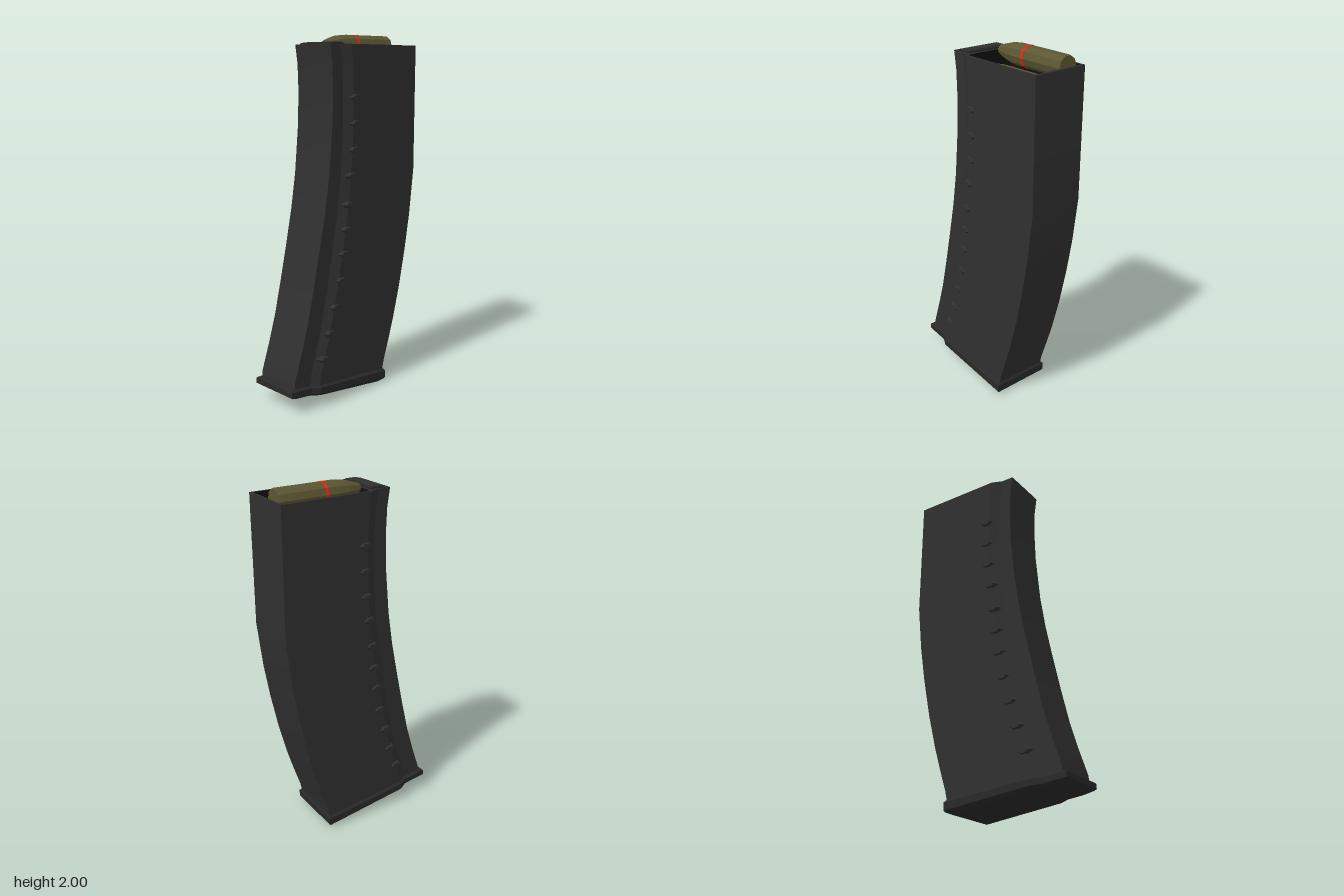
import * as THREE from 'three';
import { toCreasedNormals } from 'three/addons/utils/BufferGeometryUtils.js';

const mat = (name, color) => Object.assign(new THREE.MeshStandardMaterial({ color }), { name });

// Skin a stack of equal-length loops (anticlockwise from above), with optional end caps.
function loft(loops, capStart, capEnd, crease = 0.35) {
  const pos = [];
  const tri = (...pts) => pts.forEach((p) => pos.push(...p));
  const n = loops[0].length;
  const cap = (loop, flip) => {
    const c = [0, 1, 2].map((k) => loop.reduce((s, p) => s + p[k], 0) / n);
    loop.forEach((p, i) => {
      const q = loop[(i + 1) % n];
      flip ? tri(c, q, p) : tri(c, p, q);
    });
  };
  for (let s = 0; s + 1 < loops.length; s++) {
    for (let i = 0; i < n; i++) {
      const j = (i + 1) % n;
      const [a, b, c, d] = [loops[s][i], loops[s][j], loops[s + 1][j], loops[s + 1][i]];
      tri(a, b, c);
      tri(a, c, d);
    }
  }
  if (capStart) cap(loops[0], true);
  if (capEnd) cap(loops[loops.length - 1], false);
  const g = new THREE.BufferGeometry();
  g.setAttribute('position', new THREE.Float32BufferAttribute(pos, 3));
  return toCreasedNormals(g, crease);
}

// Tilted cross-section from a left to a right point: narrow at the left, stepping out to full width.
function section([lx, ly, rx, ry], narrow, wide, f1, f2) {
  const half = [[0, narrow], [f1, narrow], [f2, wide], [1, wide]]
    .map(([f, z]) => [lx + (rx - lx) * f, ly + (ry - ly) * f, z]);
  return [...half, ...half.slice().reverse().map(([x, y, z]) => [x, y, -z])];
}

// Rectangular opening with the same number of corners as a section.
function opening(y) {
  const half = [[-0.045, y, 0.1], [-0.045, y, 0.13], [-0.03, y, 0.148], [0.457, y, 0.148]];
  return [...half, ...half.slice().reverse().map(([x, yy, z]) => [x, yy, -z])];
}

export function createModel() {
  const model = new THREE.Group();
  const casing = mat('charcoal casing', 0x303031);
  const trim = mat('dark trim', 0x29292a);
  const inside = mat('black interior', 0x101011);
  const olive = mat('olive', 0x5c5632);
  const red = mat('red band', 0xe8260c);

  const add = (name, geometry, material, parent = model) => {
    const mesh = new THREE.Mesh(geometry, material);
    mesh.name = name;
    parent.add(mesh);
    return mesh;
  };

  // Curved casing: left x, y and right x, y at each station, bottom to top
  const stations = [
    [-0.44, 0.10, 0.217, 0.05], [-0.44, 0.17, 0.235, 0.13], [-0.39, 0.32, 0.275, 0.25],
    [-0.345, 0.47, 0.312, 0.37], [-0.30, 0.66, 0.362, 0.56], [-0.255, 0.865, 0.408, 0.78],
    [-0.215, 1.06, 0.442, 0.98], [-0.185, 1.25, 0.472, 1.24], [-0.16, 1.52, 0.472, 1.52],
    [-0.155, 1.70, 0.472, 1.70], [-0.16, 1.84, 0.472, 1.84], [-0.175, 1.94, 0.472, 1.94],
  ];
  const loops = stations.map((s) => {
    const t = 1 - s[1] / 1.94;
    return section(s, 0.135, 0.16, 0.11 + 0.06 * t, 0.2 + 0.045 * t);
  });
  add('casing', loft(loops, true, false), casing);
  add('topRim', loft([loops[loops.length - 1], opening(1.94)], false, false), casing);
  add('cavity', loft([opening(1.94), opening(1.58)], false, true), inside);

  // Raised pad on the closed end of the top
  const pad = add('topPad', new THREE.BoxGeometry(0.085, 0.008, 0.25), trim);
  pad.position.set(-0.105, 1.943, 0);
  const padPanel = add('topPadPanel', new THREE.BoxGeometry(0.06, 0.008, 0.235), casing);
  padPanel.position.set(-0.105, 1.947, 0);

  // Flanged base plate with a bevelled underside
  add('basePlate', loft([
    section([-0.42, 0.078, 0.19, 0.002], 0.125, 0.15, 0.16, 0.25),
    section([-0.46, 0.093, 0.225, 0.016], 0.14, 0.168, 0.18, 0.26),
    section([-0.474, 0.102, 0.23, 0.024], 0.15, 0.175, 0.2, 0.27),
    section([-0.472, 0.132, 0.232, 0.066], 0.15, 0.175, 0.2, 0.27),
    section([-0.455, 0.14, 0.225, 0.076], 0.137, 0.165, 0.19, 0.265),
  ], true, true, 0.2), trim);

  // Row of six-sided grip studs on both faces
  const studs = [
    [-0.01, 1.665], [-0.01, 1.525], [-0.02, 1.385], [-0.04, 1.247], [-0.06, 1.092], [-0.075, 0.957],
    [-0.095, 0.825], [-0.12, 0.68], [-0.16, 0.537], [-0.2, 0.397], [-0.245, 0.262],
  ];
  const studShape = new THREE.CylinderGeometry(0.6, 1, 0.03, 6).rotateY(Math.PI / 6)
    .rotateX(Math.PI / 2).scale(0.044, 0.026, 1);
  const studGeometry = toCreasedNormals(studShape, 0.2);
  const studGroup = new THREE.Group();
  studGroup.name = 'gripStuds';
  model.add(studGroup);
  for (const [x, y] of studs) {
    for (const side of [1, -1]) {
      const stud = add('gripStud', studGeometry, casing, studGroup);
      stud.position.set(x, y, side * 0.157);
      const tilt = -0.12 * Math.max(0, 1 - y / 1.4);
      stud.rotation.set(0, side > 0 ? 0 : Math.PI, side * tilt);
    }
  }

  // Faceted tapered cylinders lying along x, staggered in two columns
  const lathe = (points) => toCreasedNormals(
    new THREE.LatheGeometry(points.map(([r, y]) => new THREE.Vector2(r, y)), 10).rotateZ(Math.PI / 2), 0.1);
  // the profile runs from the blunt end at +x to the tip at -x
  const roundGeometry = lathe([
    [0, -0.455], [0.056, -0.455], [0.058, -0.445], [0.058, -0.12], [0.052, -0.06],
    [0.038, -0.01], [0.024, 0.03], [0, 0.031],
  ]);
  const bandGeometry = lathe([[0.0575, -0.194], [0.0595, -0.194], [0.0595, -0.178], [0.0575, -0.178]]);
  for (let i = 0; i < 4; i++) {
    const round = new THREE.Group();
    round.name = 'round';
    round.position.set(0, 1.941 - 0.09 * i, i % 2 ? 0.061 : -0.061);
    add('roundBody', roundGeometry, olive, round);
    add('roundBand', bandGeometry, red, round);
    model.add(round);
  }
  return model;
}
